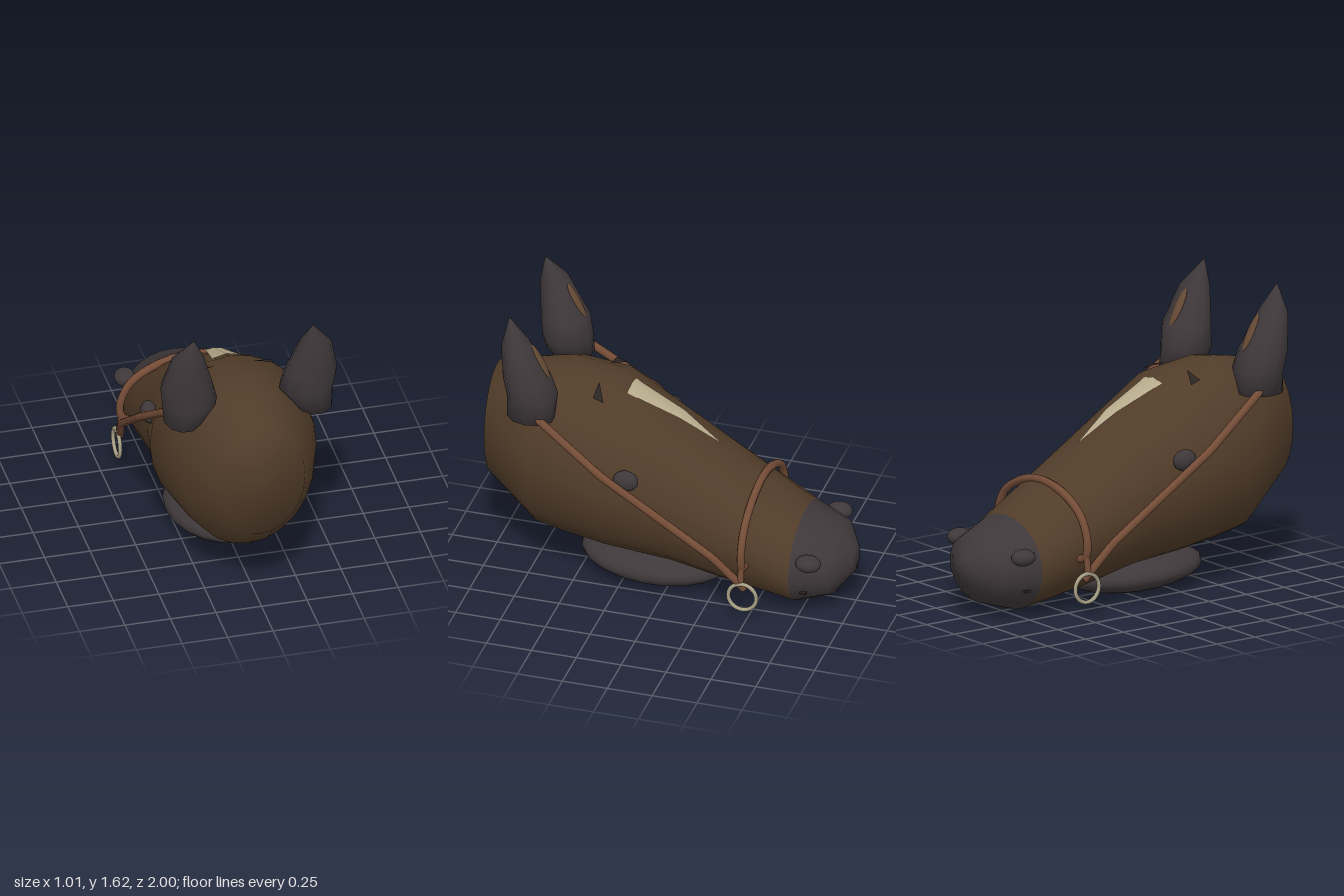
import * as THREE from 'three';

const mat = (name, color, side = THREE.FrontSide) => {
  const m = new THREE.MeshStandardMaterial({ color, side });
  m.name = name;
  return m;
};

// Skin a list of closed rings, closing both ends with a shared centre point.
// From ring number splitAt onwards the faces use the second material.
function loft(rings, splitAt = rings.length) {
  const n = rings[0].length, pos = [], idx = [];
  rings.forEach(r => r.forEach(p => pos.push(...p)));
  const centre = r => [0, 1, 2].map(k => r.reduce((s, p) => s + p[k], 0) / n);
  const last = rings.length - 1, start = rings.length * n, end = start + 1;
  pos.push(...centre(rings[0]), ...centre(rings[last]));
  let split = 0;
  for (let j = 0; j < n; j++) idx.push(start, j, (j + 1) % n);
  for (let i = 0; i < last; i++) {
    if (i === splitAt) split = idx.length;
    for (let j = 0; j < n; j++) {
      const a = i * n + j, b = i * n + (j + 1) % n;
      idx.push(a, a + n, b, b, a + n, b + n);
    }
  }
  for (let j = 0; j < n; j++) idx.push(end, last * n + (j + 1) % n, last * n + j);
  const g = new THREE.BufferGeometry();
  g.setAttribute('position', new THREE.Float32BufferAttribute(pos, 3));
  g.setIndex(idx);
  g.computeVertexNormals();
  if (split) {
    g.addGroup(0, split, 0);
    g.addGroup(split, idx.length - split, 1);
  }
  return g;
}

const ring = (n, f) => Array.from({ length: n }, (_, j) => {
  const t = j / n * Math.PI * 2;
  return f(Math.cos(t), Math.sin(t));
});

// Small open sheet from points and triangles
function sheet(points, faces) {
  const g = new THREE.BufferGeometry();
  g.setAttribute('position', new THREE.Float32BufferAttribute(points.flat(), 3));
  g.setIndex(faces.flat());
  g.computeVertexNormals();
  return g;
}

// Tube through straight runs between points
function strap(points, radius) {
  const path = new THREE.CurvePath();
  const v = points.map(p => new THREE.Vector3(...p));
  for (let i = 1; i < v.length; i++) path.add(new THREE.LineCurve3(v[i - 1], v[i]));
  return new THREE.TubeGeometry(path, 32, radius, 8);
}

export function createModel() {
  const model = new THREE.Group();
  model.name = 'horseHead';
  const coat = mat('brown coat', 0x513c29);
  const dark = mat('dark skin', 0x3f383a);
  const leather = mat('leather', 0x754d37);
  const cream = mat('cream marking', 0xb8ab8c, THREE.DoubleSide);
  const metal = mat('ring metal', 0xa69e84);
  const tuft = mat('dark tuft', 0x2b2523, THREE.DoubleSide);
  const innerEar = mat('inner ear brown', 0x654a35);

  const add = (name, geometry, material, parent = model) => {
    const m = new THREE.Mesh(geometry, material);
    m.name = name;
    parent.add(m);
    return m;
  };
  const ball = (name, material, p, r, parent) => {
    const m = add(name, new THREE.SphereGeometry(1, 20, 14), material, parent);
    m.position.set(...p);
    m.scale.set(...r);
    return m;
  };

  // Head: z, top, bottom, half width; the last three rings form the muzzle
  const head = [
    [1, 1.12, 0.46, 0.24], [0.73, 1.175, 0.23, 0.36], [0.58, 1.195, 0.205, 0.41],
    [0.32, 1.16, 0.17, 0.44], [-0.02, 0.965, 0.13, 0.37], [-0.36, 0.755, 0.06, 0.345],
    [-0.72, 0.52, 0.01, 0.325], [-0.91, 0.44, 0.07, 0.25], [-1, 0.33, 0.19, 0.07],
  ].map(([z, top, bottom, w]) => ring(24, (c, s) =>
    [w * c, (top + bottom) / 2 + (top - bottom) / 2 * s, z]));
  add('headAndMuzzle', loft(head, 6), [coat, dark]);

  // Jaw pad under the head
  ball('jaw', dark, [0, 0.11, 0.105], [0.3, 0.11, 0.415]).rotation.x = -0.04;

  // Blaze on the forehead: a ridged, tapering marking
  add('blaze', sheet(
    [[-0.08, 1.11, 0.25], [0, 1.13, 0.25], [0.08, 1.11, 0.25],
      [-0.045, 0.985, -0.03], [0, 0.995, -0.03], [0.045, 0.985, -0.03], [0, 0.835, -0.26]],
    [[0, 1, 4], [0, 4, 3], [1, 2, 5], [1, 5, 4], [3, 4, 6], [4, 5, 6]]), cream);

  // Noseband arching over the nose
  const band = [[0.33, 0.31], [0.385, 0.33], [0.4, 0.41], [0.345, 0.54], [0.2, 0.635]];
  const bandPath = [...band, [0, 0.675], ...band.map(([x, y]) => [-x, y]).reverse()]
    .map(([x, y]) => new THREE.Vector3(x, y, -0.48));
  add('noseband', new THREE.TubeGeometry(
    new THREE.CatmullRomCurve3(bandPath), 64, 0.022, 8), leather);

  for (const s of [1, -1]) {
    const side = new THREE.Group();
    side.name = s > 0 ? 'leftSide' : 'rightSide';
    model.add(side);

    // Ear: y, centre x, centre z, half width, half depth
    const ear = [
      [1.05, 0.36, 0.7, 0.1, 0.13], [1.17, 0.32, 0.705, 0.15, 0.135],
      [1.28, 0.342, 0.725, 0.143, 0.13], [1.48, 0.35, 0.785, 0.09, 0.08],
      [1.62, 0.325, 0.83, 0.004, 0.004],
    ].map(([y, x, z, rx, rz]) => ring(10, (c, q) => [s * x + rx * c, y, z + rz * q]));
    add('ear', loft(ear), dark, side);
    ball('innerEar', innerEar, [s * 0.325, 1.38, 0.658], [0.03, 0.11, 0.014], side)
      .rotation.x = 0.5;

    ball('eye', dark, [s * 0.405, 0.77, 0.16], [0.045, 0.058, 0.07], side);
    ball('nostril', dark, [s * 0.287, 0.36, -0.82], [0.058, 0.045, 0.07], side);

    // Mouth corner
    const mouth = add('mouthCorner', new THREE.BoxGeometry(0.02, 0.012, 0.035), tuft, side);
    mouth.position.set(s * 0.283, 0.17, -0.79);

    // Tuft by the forelock
    add('tuft', sheet([[s * 0.22, 1.115, 0.34], [s * 0.22, 1.135, 0.4], [s * 0.1, 1.165, 0.4]],
      [[0, 1, 2]]), tuft, side);

    // Cheek strap, bit link and bit ring
    add('cheekStrap', strap([[s * 0.425, 1.09, 0.66], [s * 0.485, 0.82, 0.27],
      [s * 0.43, 0.395, -0.33], [s * 0.395, 0.21, -0.5]], 0.022), leather, side);
    add('bitLink', strap([[s * 0.39, 0.35, -0.48], [s * 0.405, 0.25, -0.48]], 0.018),
      leather, side);
    const bit = add('bitRing', new THREE.TorusGeometry(0.078, 0.011, 10, 32), metal, side);
    bit.rotation.y = Math.PI / 2;
    bit.position.set(s * 0.415, 0.17, -0.493);
  }
  return model;
}
